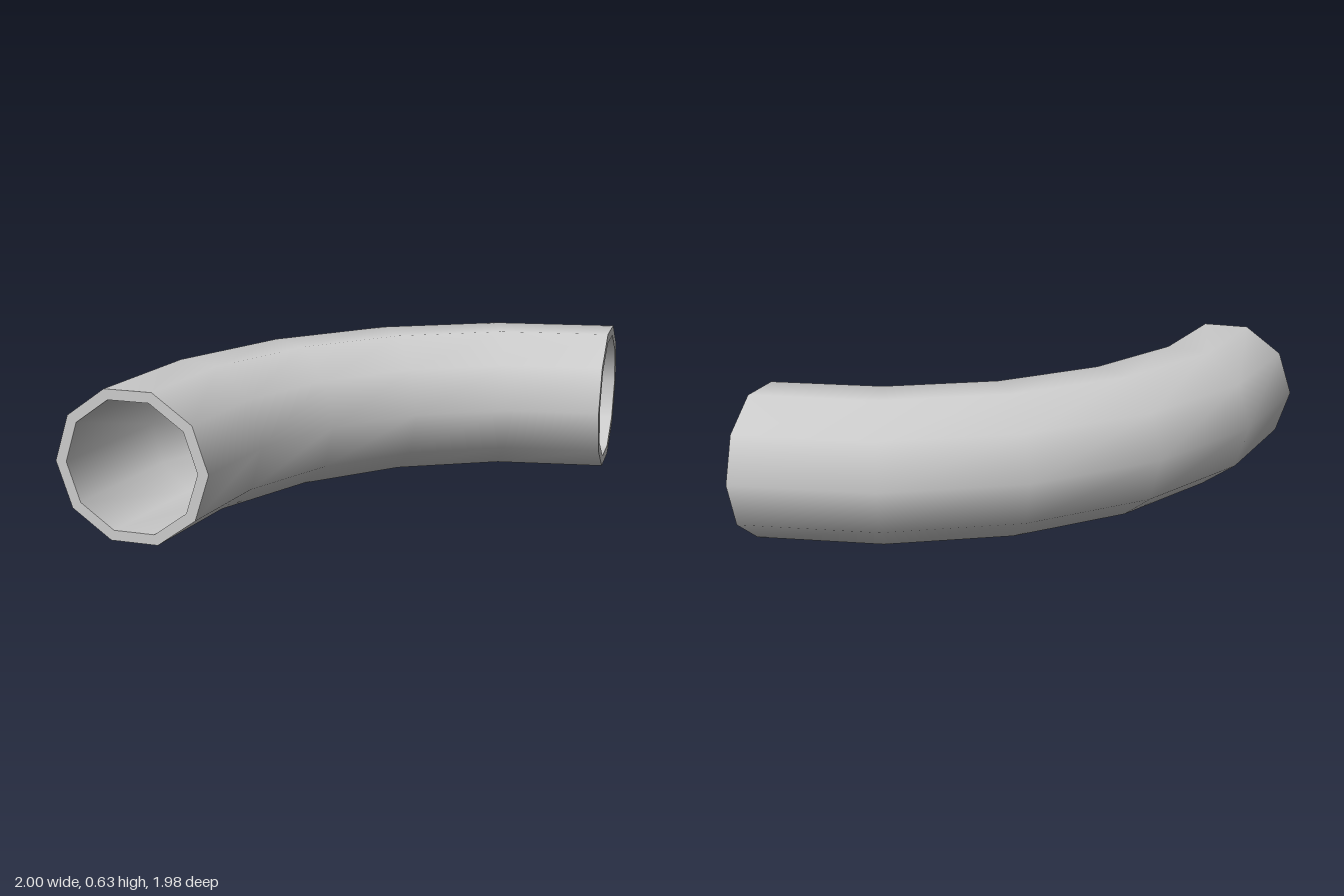
import * as THREE from 'three';

const BEND = 1.669;   // radius of the bend's centre line
const OUTER = 0.331;  // outside radius of the pipe
const INNER = 0.285;  // radius of the bore
const SIDES = 10, STEPS = 5;
const ARC = THREE.MathUtils.degToRad(89.23);

// Turns a surface inside out so it is seen from within
function flip(geometry) {
  const index = geometry.index.array;
  for (let i = 0; i < index.length; i += 3) {
    [index[i], index[i + 1]] = [index[i + 1], index[i]];
  }
  const n = geometry.attributes.normal;
  for (let i = 0; i < n.count; i++) n.setXYZ(i, -n.getX(i), -n.getY(i), -n.getZ(i));
  return geometry;
}

// Flat ring closing the wall at one end of the bend
function rim(angle, direction) {
  return new THREE.RingGeometry(INNER, OUTER, SIDES, 1)
    .rotateX(direction * Math.PI / 2)
    .translate(BEND, 0, 0)
    .rotateZ(angle);
}

export function createModel() {
  const model = new THREE.Group();
  model.name = 'pipeElbow';
  const material = new THREE.MeshStandardMaterial({ color: 0xcccccc });

  // Bend built in its own plane, then laid flat
  const elbow = new THREE.Group();
  elbow.name = 'elbow';
  const add = (name, geometry) => {
    const mesh = new THREE.Mesh(geometry, material);
    mesh.name = name;
    elbow.add(mesh);
  };
  add('outerWall', new THREE.TorusGeometry(BEND, OUTER, SIDES, STEPS, ARC));
  add('innerWall', flip(new THREE.TorusGeometry(BEND, INNER, SIDES, STEPS, ARC)));
  add('sideRim', rim(0, 1));
  add('frontRim', rim(ARC, -1));

  elbow.rotation.set(-Math.PI / 2, 0, Math.PI / 2);
  elbow.position.set(1, OUTER * Math.sin(Math.PI * 0.4), 1.007);
  model.add(elbow);
  return model;
}
